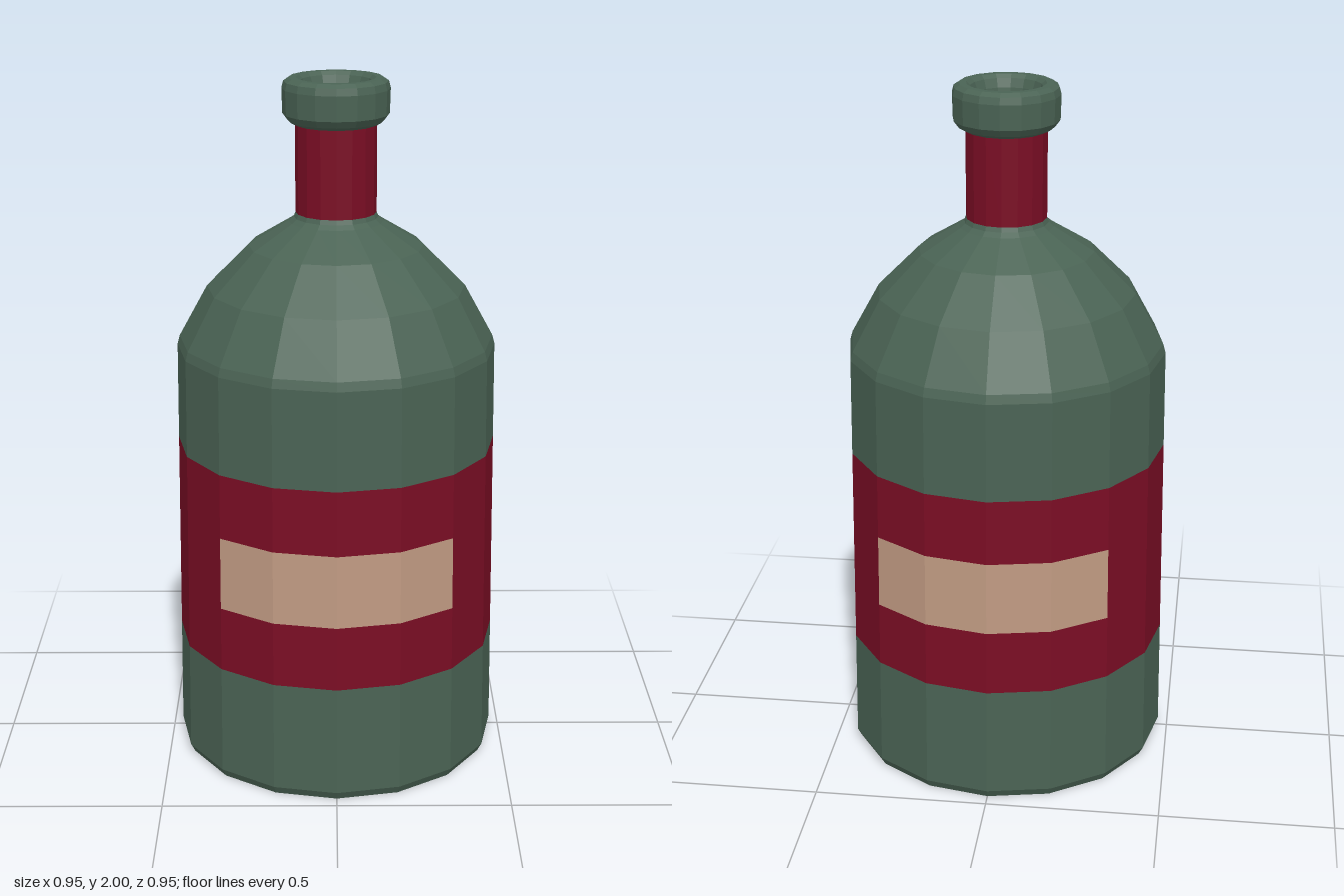
import * as THREE from 'three';

const SIDES = 16;
const material = (color) =>
  new THREE.MeshStandardMaterial({ color, flatShading: true, side: THREE.DoubleSide });

export function createModel() {
  const bottle = new THREE.Group();
  bottle.name = 'bottle';
  const glass = material(0x4a6354);
  const red = material(0x7a0d24);
  const cream = material(0xc09a82);

  // Turned piece; start and span are given in sixteenths of a turn from the front
  function turned(name, mat, profile, start = 0, span = SIDES) {
    const step = (Math.PI * 2) / SIDES;
    const points = profile.map(([r, y]) => new THREE.Vector2(r, y));
    const geometry = new THREE.LatheGeometry(points, span, start * step, span * step);
    const mesh = new THREE.Mesh(geometry, mat);
    mesh.name = name;
    bottle.add(mesh);
  }

  // The body wall tapers slightly towards the shoulder
  const wall = (y) => [0.473 - (0.014 * (y - 0.025)) / 1.215, y];

  // Base and lower body
  turned('lowerBody', glass, [[0, 0], [0.46, 0], wall(0.025), wall(0.35)]);

  // Wrapped label, flush with the body
  turned('labelLower', red, [wall(0.35), wall(0.54)]);
  turned('labelUpper', red, [wall(0.755), wall(0.945)]);
  const strip = [wall(0.54), wall(0.755)];
  turned('frontPanel', cream, strip, -2, 4);
  turned('labelLeft', red, strip, 2, 4);
  turned('backPanel', cream, strip, 6, 4);
  turned('labelRight', red, strip, 10, 4);

  // Upper body and domed shoulder
  turned('shoulder', glass, [
    wall(0.945), wall(1.23), [0.452, 1.256], [0.37, 1.405], [0.25, 1.525],
    [0.135, 1.595], [0.12, 1.607], [0.115, 1.62],
  ]);

  // Neck wrap, and the inside of the neck
  turned('neck', red, [[0.115, 1.62], [0.115, 1.87]]);
  turned('neckInside', red, [[0.09, 1.95], [0.09, 1.62]]);

  // Rolled lip around the mouth
  turned('lip', glass, [
    [0.115, 1.87], [0.135, 1.88], [0.15, 1.9], [0.152, 1.97], [0.147, 1.99],
    [0.132, 2], [0.112, 2], [0.101, 1.99], [0.092, 1.965], [0.09, 1.95],
  ]);

  return bottle;
}
